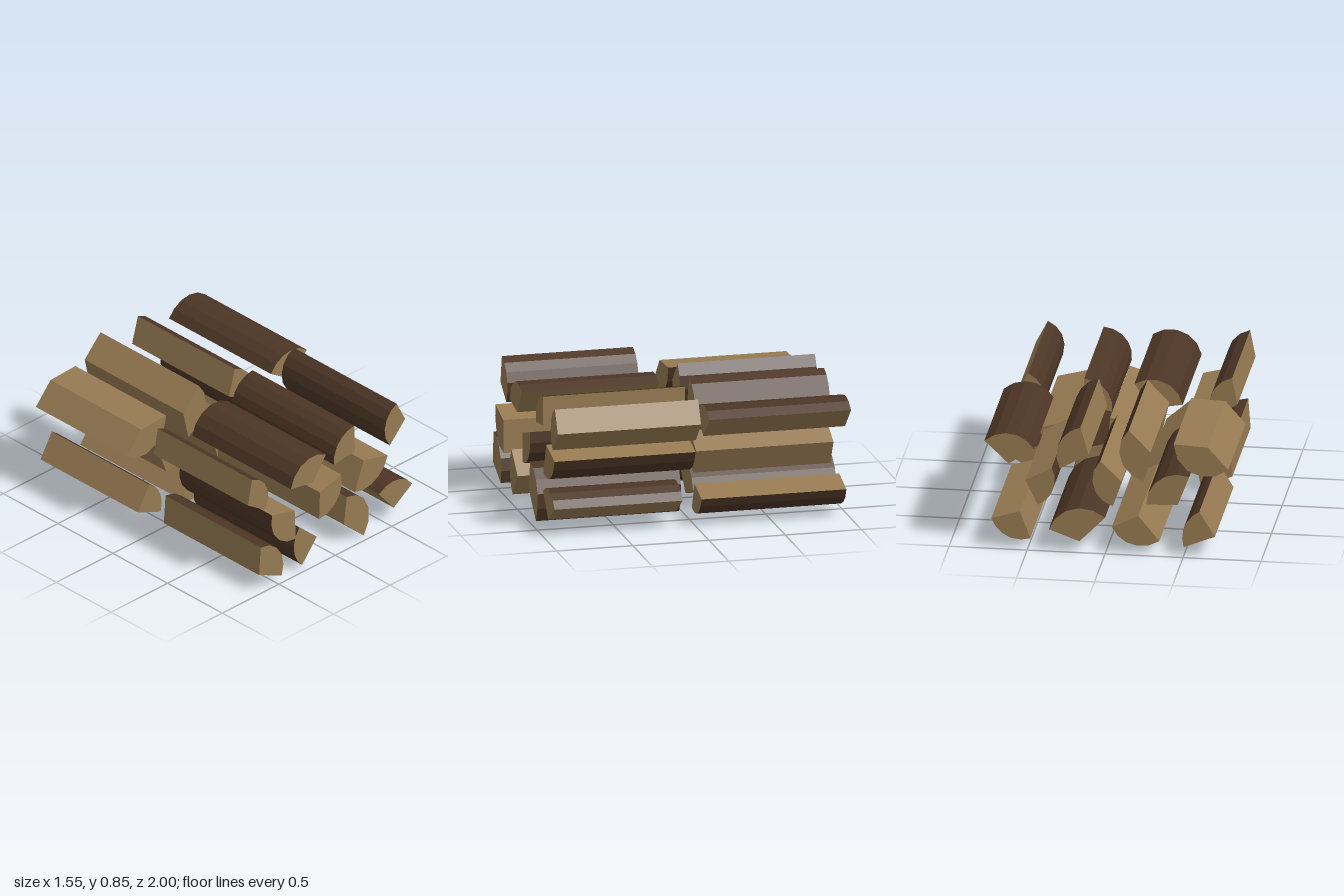
import * as THREE from 'three';

const wood = new THREE.MeshStandardMaterial({ color: 0x967a52 });
wood.name = 'split wood';
const bark = new THREE.MeshStandardMaterial({ color: 0x4c3525 });
bark.name = 'dark bark';

const ARC_STEPS = 5;

// One split log: a pie wedge with its tip at (ax, ay), bark curving from (sx, sy) to (ex, ey), lying along z
function splitLog(name, [ax, ay, sx, sy, ex, ey, z0, z1]) {
  let a0 = Math.atan2(sy - ay, sx - ax);
  let r0 = Math.hypot(sx - ax, sy - ay);
  const a1 = Math.atan2(ey - ay, ex - ax);
  let r1 = Math.hypot(ex - ax, ey - ay);
  let sweep = Math.atan2(Math.sin(a1 - a0), Math.cos(a1 - a0));
  if (sweep < 0) {
    a0 = a1;
    sweep = -sweep;
    [r0, r1] = [r1, r0];
  }

  // Outline, counter-clockwise from the tip
  const outline = [[ax, ay]];
  for (let i = 0; i <= ARC_STEPS; i++) {
    const t = i / ARC_STEPS;
    const r = r0 + (r1 - r0) * t;
    outline.push([ax + r * Math.cos(a0 + sweep * t), ay + r * Math.sin(a0 + sweep * t)]);
  }

  const woodPoints = [];
  const barkPoints = [];
  const triangle = (list, a, b, c) => list.push(...a, ...b, ...c);
  outline.forEach((p, i) => {
    // Long sides: the two at the tip are split wood, the others bark
    const q = outline[(i + 1) % outline.length];
    const list = i === 0 || i === outline.length - 1 ? woodPoints : barkPoints;
    triangle(list, [...p, z0], [...q, z0], [...q, z1]);
    triangle(list, [...p, z0], [...q, z1], [...p, z1]);
    // Sawn ends
    if (i > 0 && i < outline.length - 1) {
      triangle(woodPoints, [ax, ay, z1], [...p, z1], [...q, z1]);
      triangle(woodPoints, [ax, ay, z0], [...q, z0], [...p, z0]);
    }
  });

  const geometry = new THREE.BufferGeometry();
  geometry.setAttribute('position', new THREE.Float32BufferAttribute([...woodPoints, ...barkPoints], 3));
  geometry.addGroup(0, woodPoints.length / 3, 0);
  geometry.addGroup(woodPoints.length / 3, barkPoints.length / 3, 1);
  geometry.computeVertexNormals();
  const mesh = new THREE.Mesh(geometry, [wood, bark]);
  mesh.name = name;
  return mesh;
}

// Each log: tip x, y, bark start x, y, bark end x, y, back z, front z
const frontLogs = {
  bottom: [
    [-0.665, 0.14, -0.65, 0.34, -0.465, 0.05, 0.12, 0.99],
    [-0.13, 0.185, -0.285, 0.32, -0.26, 0.03, 0.05, 0.965],
    [0.12, 0.165, 0.145, 0.358, 0.295, 0.005, 0.015, 0.955],
    [0.57, 0.09, 0.44, 0.245, 0.733, 0.2, 0.105, 0.945],
  ],
  middle: [
    [-0.36, 0.495, -0.56, 0.545, -0.35, 0.28, 0.16, 1.0],
    [-0.083, 0.485, 0.105, 0.54, -0.09, 0.29, 0.02, 0.945],
    [0.347, 0.52, 0.27, 0.315, 0.56, 0.465, -0.025, 0.9],
  ],
  top: [
    [-0.705, 0.65, -0.67, 0.828, -0.555, 0.555, 0.07, 0.93],
    [-0.16, 0.6, -0.355, 0.635, -0.045, 0.76, 0.06, 0.96],
    [0.27, 0.625, 0.265, 0.815, 0.085, 0.6, -0.03, 0.9],
    [0.7, 0.685, 0.625, 0.83, 0.565, 0.545, -0.025, 0.915],
  ],
};
const backLogs = {
  bottom: [
    [-0.7, 0.145, -0.6, 0.31, -0.5, 0.065, -0.97, -0.08],
    [-0.21, 0.265, -0.345, 0.1, -0.04, 0.18, -0.975, -0.05],
    [0.165, 0.082, 0.0, 0.25, 0.36, 0.155, -1.0, -0.06],
    [0.55, 0.255, 0.483, 0.075, 0.733, 0.2, -0.97, -0.02],
  ],
  middle: [
    [-0.465, 0.36, -0.54, 0.555, -0.265, 0.355, -1.0, -0.065],
    [-0.085, 0.445, 0.05, 0.58, -0.03, 0.275, -0.855, -0.035],
    [0.52, 0.457, 0.35, 0.55, 0.44, 0.295, -0.94, -0.04],
  ],
  top: [
    [-0.65, 0.735, -0.78, 0.59, -0.43, 0.745, -0.93, -0.1],
    [-0.29, 0.705, -0.15, 0.85, -0.245, 0.51, -0.99, -0.09],
    [0.11, 0.66, 0.162, 0.845, 0.295, 0.56, -0.97, -0.085],
    [0.62, 0.585, 0.457, 0.69, 0.775, 0.733, -0.99, -0.06],
  ],
};

export function createModel() {
  const stack = new THREE.Group();
  stack.name = 'firewoodStack';
  for (const [side, layers] of [['front', frontLogs], ['back', backLogs]]) {
    for (const [layer, logs] of Object.entries(layers)) {
      const row = new THREE.Group();
      row.name = `${side} ${layer} row`;
      logs.forEach((log, i) => row.add(splitLog(`${side} ${layer} log ${i + 1}`, log)));
      stack.add(row);
    }
  }
  return stack;
}
